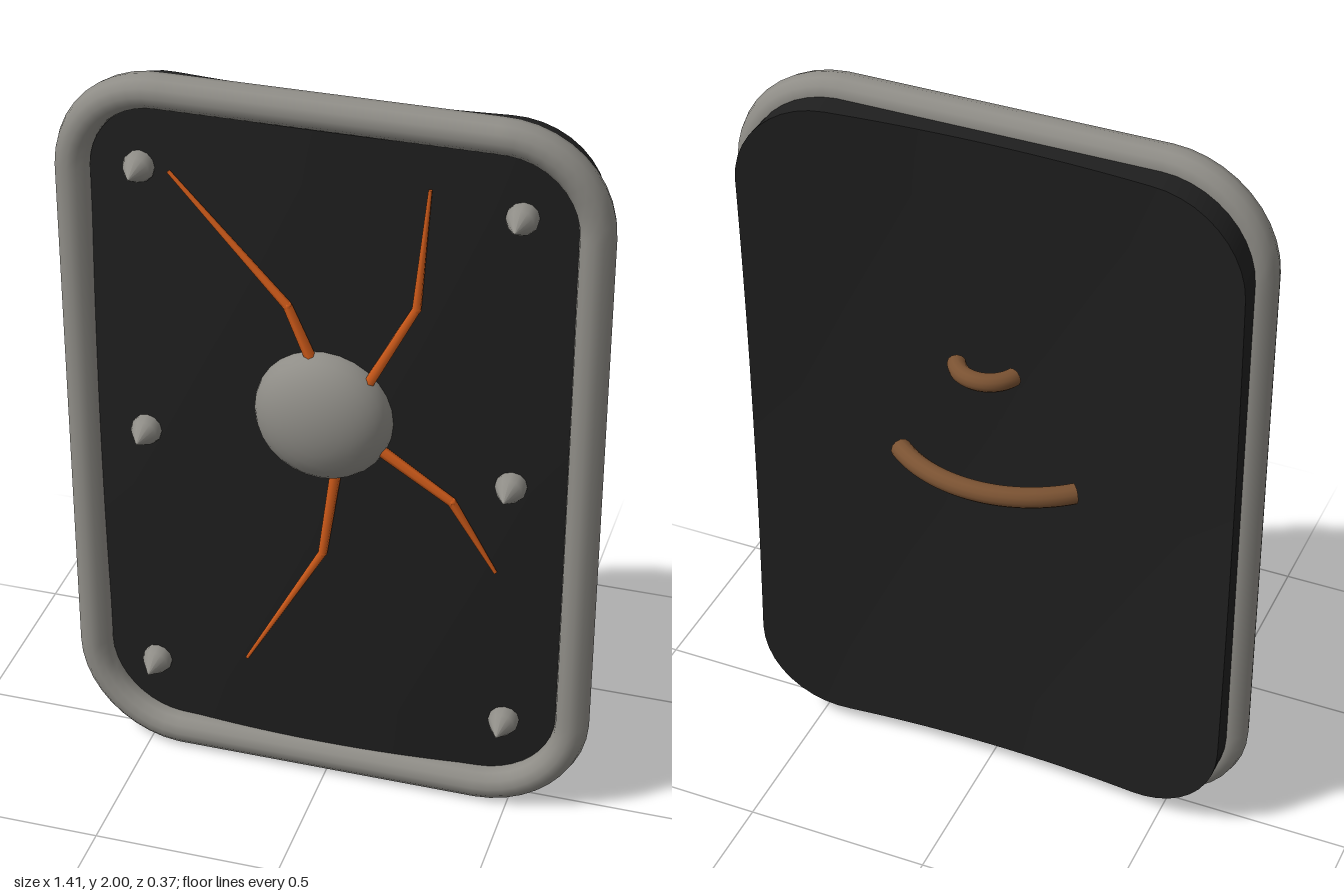
import * as THREE from 'three';
import { toCreasedNormals } from 'three/addons/utils/BufferGeometryUtils.js';

const W = 0.66, H = 0.955, R = 0.24, MID = 1; // half width, half height, corner radius, centre height

const mat = (name, color, side = THREE.FrontSide) => {
  const m = new THREE.MeshStandardMaterial({ color, side });
  m.name = name;
  return m;
};

// Gentle bow of the shield: edges fall back from the middle
const bow = (x, y) => -0.12 * x * x - 0.03 * y * y;
const FRONT = 0.08, BACK = -0.022;
const frontZ = (x, y) => FRONT + bow(x, y - MID);

function outline() {
  const s = new THREE.Shape(), q = Math.PI / 2, w = W - R, h = H - R;
  s.moveTo(W, h);
  [[w, h], [-w, h], [-w, -h], [w, -h]].forEach(([x, y], i) => s.absarc(x, y, R, i * q, (i + 1) * q));
  s.lineTo(W, h);
  return s;
}

// Board from scaled copies of the outline: out across the front, back across the rear
function boardGeometry(shape) {
  const n = 160, pts = shape.getSpacedPoints(n).slice(0, n);
  const steps = [0, 0.2, 0.4, 0.6, 0.8, 1];
  const loops = [...steps.map(s => [s, FRONT]), ...steps.slice().reverse().map(s => [s, BACK])];
  const pos = [], index = [];
  for (const [s, z] of loops)
    for (const p of pts) pos.push(p.x * s, p.y * s + MID, z + bow(p.x * s, p.y * s));
  for (let i = 0; i < loops.length - 1; i++)
    for (let j = 0; j < n; j++) {
      const k = (j + 1) % n;
      const a = i * n + j, b = a + n, c = (i + 1) * n + k, d = i * n + k;
      if (loops[i + 1][0] > 0) index.push(a, b, c);
      if (loops[i][0] > 0) index.push(a, c, d);
    }
  const g = new THREE.BufferGeometry();
  g.setAttribute('position', new THREE.Float32BufferAttribute(pos, 3));
  g.setIndex(index);
  return toCreasedNormals(g, 0.6);
}

// Path of the rim, following the outline with its sides set slightly back
class RimCurve extends THREE.Curve {
  constructor(shape) { super(); this.shape = shape; }
  getPoint(t, target = new THREE.Vector3()) {
    const p = this.shape.getPointAt(((t % 1) + 1) % 1);
    const k = Math.max(0, (Math.abs(p.x) - (W - R)) / R);
    return target.set(p.x, p.y + MID, 0.042 - 0.018 * k);
  }
}

export function createModel() {
  const group = new THREE.Group();
  const black = mat('blackBoard', 0x1f1f1f);
  const steel = mat('greySteel', 0x8f8d87);
  const orange = mat('glowingOrange', 0xd25c1a);
  const leather = mat('brownLeather', 0x7a5232);
  const add = (name, geo, material, parent = group) => {
    const m = new THREE.Mesh(geo, material);
    m.name = name;
    parent.add(m);
    return m;
  };
  const shape = outline();

  add('board', boardGeometry(shape), black);
  add('rim', new THREE.TubeGeometry(new RimCurve(shape), 160, 0.045, 12, true), steel);

  // Central boss: flattened half sphere
  const boss = add('boss', new THREE.SphereGeometry(0.18, 28, 8, 0, Math.PI * 2, 0, Math.PI / 2), steel);
  boss.rotation.x = Math.PI / 2;
  boss.scale.y = 0.6;
  boss.position.set(0, 1.14, 0.073);

  // Pointed studs down both sides
  const studProfile = [[0.038, -0.02], [0.041, 0.012], [0.034, 0.03], [0, 0.088]].map(p => new THREE.Vector2(...p));
  const studGeo = new THREE.LatheGeometry(studProfile, 12);
  for (const side of [1, -1])
    for (const y of [0.26, 1, 1.745]) {
      const stud = add(side > 0 ? 'leftStud' : 'rightStud', studGeo, steel);
      stud.rotation.x = Math.PI / 2;
      stud.position.set(side * 0.48, y, frontZ(0.48, y));
    }

  // Cracks: bent, tapering strokes running out from the boss
  const cracks = [
    [[-0.02, 1.28], [-0.09, 1.44], [-0.4, 1.75]],
    [[0.11, 1.24], [0.235, 1.48], [0.26, 1.8]],
    [[0.14, 1.075], [0.335, 0.94], [0.45, 0.74]],
    [[0.035, 0.98], [0, 0.73], [-0.215, 0.34]],
  ];
  const radii = [0.015, 0.012, 0.005];
  const up = new THREE.Vector3(0, 1, 0);
  for (const path of cracks) {
    const crack = new THREE.Group();
    crack.name = 'crack';
    group.add(crack);
    const pts = path.map(([x, y]) => new THREE.Vector3(x, y, frontZ(x, y) + 0.012));
    for (let i = 0; i < 2; i++) {
      const dir = pts[i + 1].clone().sub(pts[i]);
      const seg = add('crackSegment', new THREE.CylinderGeometry(radii[i + 1], radii[i], dir.length(), 6), orange, crack);
      seg.position.copy(pts[i]).addScaledVector(dir, 0.5);
      seg.quaternion.setFromUnitVectors(up, dir.normalize());
    }
    add('crackJoint', new THREE.SphereGeometry(0.012, 8, 6), orange, crack).position.copy(pts[1]);
  }

  // Curved arm strap and hand grip on the rear, with closed ends
  const handle = (name, y, apex, radius, half, tube) => {
    const g = new THREE.Group();
    g.name = name;
    group.add(g);
    const arc = add(name + 'Arc', new THREE.TorusGeometry(radius, tube, 12, 28, half * 2), leather, g);
    arc.rotation.set(-Math.PI / 2, 0, Math.PI / 2 - half);
    for (const side of [1, -1]) {
      const cap = add(name + 'End', new THREE.CircleGeometry(tube, 12), leather, g);
      cap.position.set(side * Math.sin(half) * radius, 0, -Math.cos(half) * radius);
      cap.lookAt(cap.position.x + side * Math.cos(half), 0, cap.position.z + Math.sin(half));
    }
    g.position.set(0, y, apex + radius);
  };
  handle('armStrap', 1.005, -0.157, 0.371, 0.704, 0.027);
  handle('handGrip', 1.325, -0.13, 0.082, 1.2, 0.024);

  return group;
}
